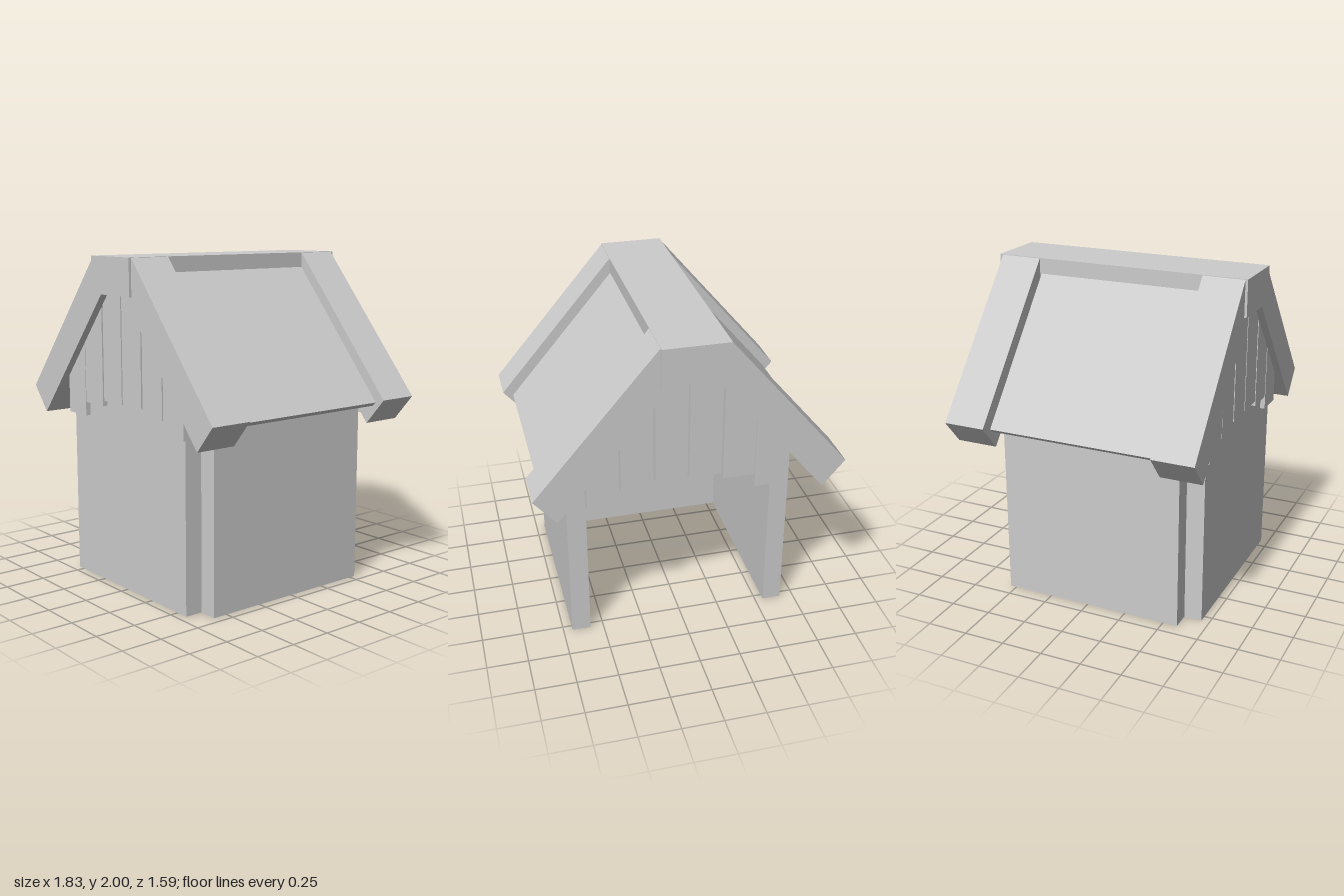
import * as THREE from 'three';

const mat = new THREE.MeshStandardMaterial({ color: 0xcccccc, flatShading: true });

export function createModel() {
  const model = new THREE.Group();

  const add = (name, geometry) => {
    const mesh = new THREE.Mesh(geometry, mat);
    mesh.name = name;
    model.add(mesh);
  };

  // Box given by its limits on each axis
  const box = (name, x0, x1, y0, y1, z0, z1) => add(name,
    new THREE.BoxGeometry(x1 - x0, y1 - y0, z1 - z0)
      .translate((x0 + x1) / 2, (y0 + y1) / 2, (z0 + z1) / 2));

  // Outline in x and y, extruded from z0 to z1
  const slab = (name, points, z0, z1) => {
    const shape = new THREE.Shape(points.map(([x, y]) => new THREE.Vector2(x, y)));
    add(name, new THREE.ExtrudeGeometry(shape, { depth: z1 - z0, bevelEnabled: false })
      .translate(0, 0, z0));
  };

  // Walls, open at the back
  box('frontWall', -0.55, 0.58, 0, 1.14, 0.59, 0.70);
  box('leftWall', 0.58, 0.695, 0, 1.14, -0.54, 0.59);
  box('rightWall', -0.665, -0.55, 0, 1.14, -0.54, 0.59);

  // Ridge beam
  box('ridgeBeam', -0.197, 0.19, 1.78, 2, -0.8, 0.79);

  // Sloping roof panels and end boards
  const slope = 1.18;
  for (const s of [1, -1]) {
    const side = s > 0 ? 'left' : 'right';
    const shift = s > 0 ? 0 : -0.004;
    const outline = pts => pts.map(([x, y]) => [s * x + shift, y]);
    const board = outline([[0.192, 1.998], [0.912, 1.15], [0.78, 0.995], [0.114, 1.781], [0.114, 1.998]]);
    slab(side + 'FrontBargeboard', board, 0.52, 0.775);
    slab(side + 'BackBargeboard', board, -0.78, -0.525);
    const panel = outline([[0.14, 1.968], [0.85, 1.13], [0.822, 1.106], [0.14, 1.911]]);
    slab(side + 'RoofPanel', panel, s > 0 ? -0.525 : -0.515, s > 0 ? 0.51 : 0.52);
  }

  // Gable planks, stepped at the bottom and cut to the roof slope
  const roofY = x => Math.min(1.85, 0.995 + (0.78 - Math.abs(x)) * slope + 0.06);
  const planks = [
    [-0.57, -0.382, 1.02], [-0.377, -0.19, 1.105], [-0.177, 0.01, 1.14],
    [0.02, 0.207, 1.14], [0.22, 0.407, 1.105], [0.417, 0.603, 1.02],
  ];
  for (const [x0, x1, y] of planks) {
    const points = [[x0, y], [x1, y], [x1, roofY(x1)], [x0, roofY(x0)]];
    slab('frontGablePlank', points, 0.655, 0.73);
    slab('backGablePlank', points, -0.73, -0.655);
  }
  return model;
}
